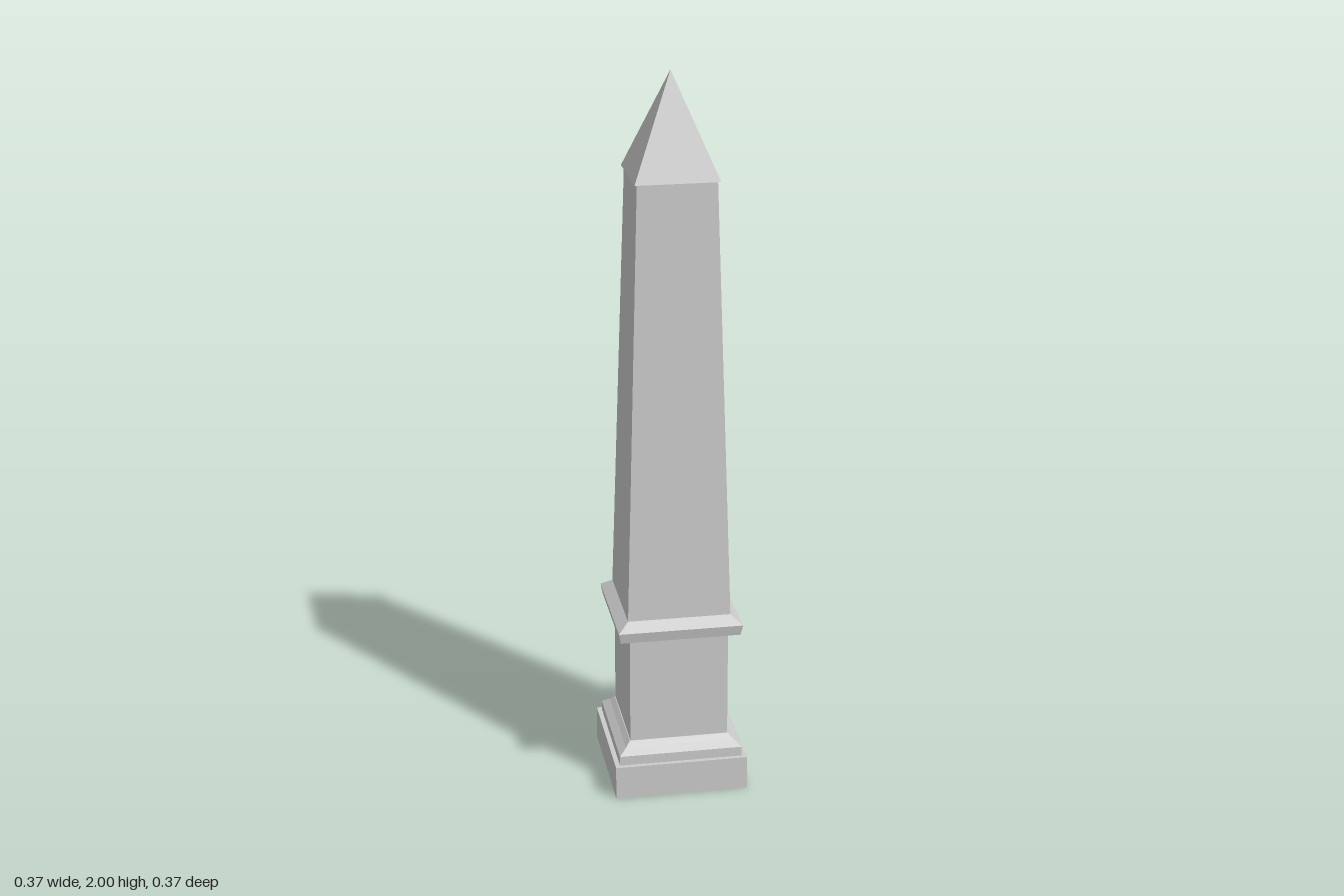
import * as THREE from 'three';

const material = new THREE.MeshStandardMaterial({ color: 0xcccccc, flatShading: true });

// Square block that tapers from half-width h0 at y0 to h1 at y1
function taper(name, y0, h0, y1, h1) {
  const geometry = new THREE.CylinderGeometry(
    h1 * Math.SQRT2, h0 * Math.SQRT2, y1 - y0, 4, 1, false, Math.PI / 4);
  geometry.translate(0, (y0 + y1) / 2, 0);
  const mesh = new THREE.Mesh(geometry, material);
  mesh.name = name;
  return mesh;
}

export function createModel() {
  const group = new THREE.Group();
  group.name = 'obelisk';

  // name, bottom y, bottom half-width, top y, top half-width
  const parts = [
    // Stepped base
    ['plinth', 0, 0.185, 0.095, 0.185],
    ['baseStep', 0.095, 0.172, 0.122, 0.172],
    ['baseSlope', 0.122, 0.172, 0.138, 0.152],
    ['baseCollar', 0.138, 0.152, 0.152, 0.139],
    // Pedestal and its cornice
    ['pedestal', 0.152, 0.137, 0.465, 0.137],
    ['corniceBand', 0.465, 0.166, 0.495, 0.172],
    ['corniceSlope', 0.495, 0.172, 0.518, 0.142],
    // Tapering shaft and overhanging pointed cap
    ['shaft', 0.518, 0.142, 1.727, 0.106],
    ['pyramidCap', 1.727, 0.113, 2, 0],
  ];
  for (const part of parts) group.add(taper(...part));

  return group;
}
